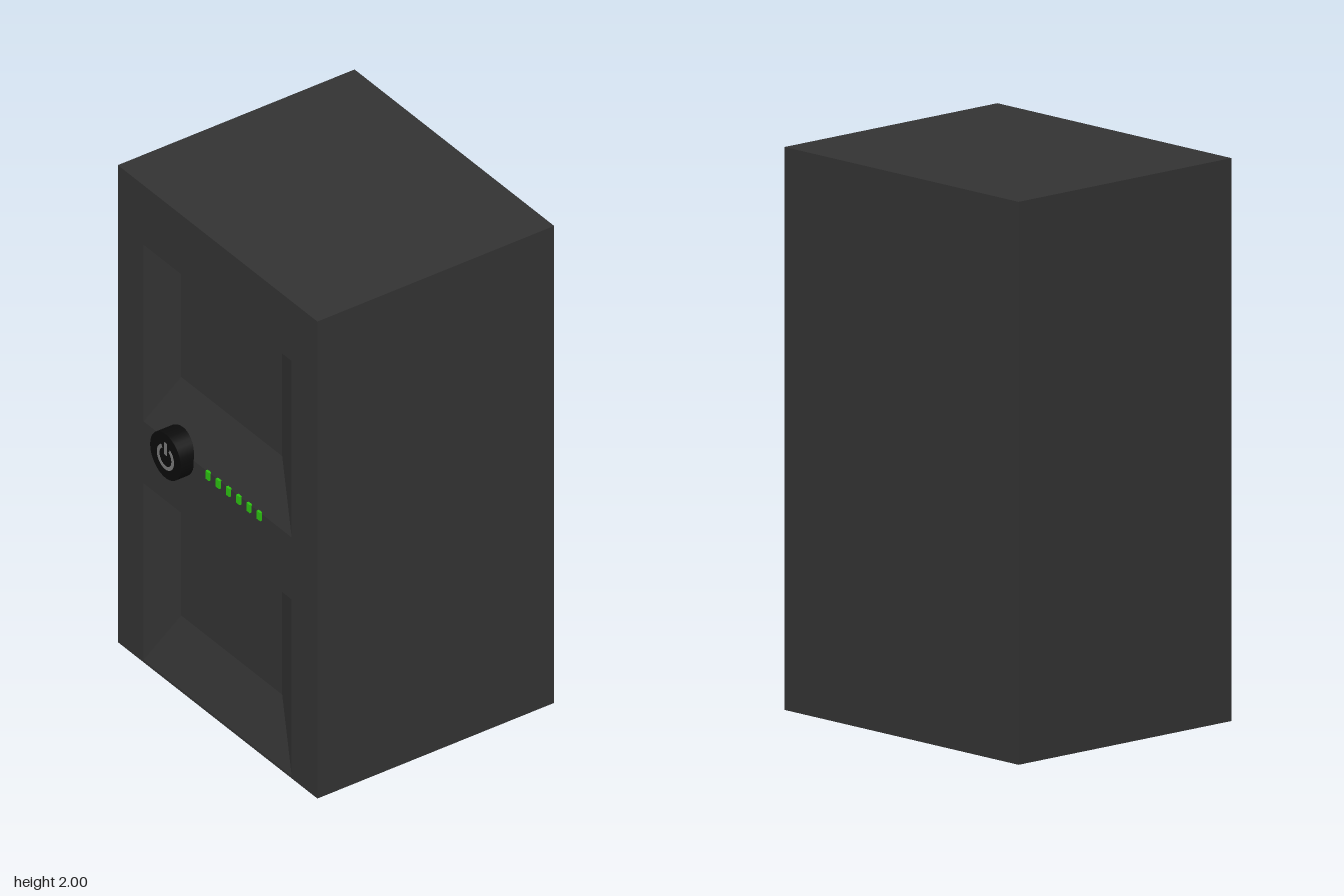
import * as THREE from 'three';

const mat = (color, extra = {}) => new THREE.MeshStandardMaterial({ color, ...extra });
const rect = (P, z0, z1, y0, y1) =>
  new P([[z0, y0], [z1, y0], [z1, y1], [z0, y1]].map(([z, y]) => new THREE.Vector2(z, y)));

// Four sloping walls from an outer rectangle (on the face) to an inner one (set back)
function slopedWalls(outer, inner, depth) {
  const corners = ([z0, z1, y0, y1], w) => [z0, y0, w, z1, y0, w, z1, y1, w, z0, y1, w];
  const index = [];
  for (let i = 0; i < 4; i++) {
    const j = (i + 1) % 4;
    index.push(i, j, j + 4, i, j + 4, i + 4);
  }
  let g = new THREE.BufferGeometry();
  g.setAttribute('position', new THREE.Float32BufferAttribute([...corners(outer, depth), ...corners(inner, 0)], 3));
  g.setIndex(index);
  g = g.toNonIndexed();
  g.computeVertexNormals();
  return g;
}

export function createModel() {
  const model = new THREE.Group();
  const shell = mat(0x333333);
  const black = mat(0x0b0b0b);
  const green = mat(0x2bc010);
  const iconGrey = mat(0x777777);
  const add = (parent, name, geometry, material, x = 0, y = 0, z = 0) => {
    const mesh = new THREE.Mesh(geometry, material);
    mesh.name = name;
    mesh.position.set(x, y, z);
    parent.add(mesh);
    return mesh;
  };

  // Cabinet
  const depth = 0.06, faceX = -0.48, right = 0.53;
  const w = right - faceX - depth;
  add(model, 'cabinet', new THREE.BoxGeometry(w, 2, 1.186), shell, right - w / 2, 1, 0);

  // Control side: local x runs along z, local z points out to -x
  const side = new THREE.Group();
  side.name = 'controlSide';
  side.position.x = faceX + depth;
  side.rotation.y = -Math.PI / 2;
  model.add(side);

  // Side panel with two shallow, sloped recesses
  const panel = rect(THREE.Shape, -0.593, 0.593, 0, 2);
  for (const y of [0, 1]) {
    const outer = [-0.44, 0.44, y + 0.01, y + 0.75];
    const inner = [-0.3, 0.3, y + 0.25, y + 0.71];
    panel.holes.push(rect(THREE.Path, ...outer));
    add(side, 'recessWalls', slopedWalls(outer, inner, depth), shell);
  }
  add(side, 'sidePanel', new THREE.ExtrudeGeometry(panel, { depth, bevelEnabled: false }), shell);

  // Round power button
  const button = new THREE.Group();
  button.name = 'powerButton';
  button.position.set(-0.234, 1, 0);
  side.add(button);
  const cap = add(button, 'buttonCap', new THREE.CylinderGeometry(0.092, 0.092, 0.115, 32), black, 0, 0, 0.0565);
  cap.rotation.x = Math.PI / 2;

  // Broken ring and bar on the button
  const gap = 0.55;
  const ring = new THREE.Shape();
  ring.absarc(0, 0, 0.05, Math.PI / 2 + gap, Math.PI * 2.5 - gap, false);
  ring.absarc(0, 0, 0.036, Math.PI * 2.5 - gap, Math.PI / 2 + gap, true);
  add(button, 'buttonRing', new THREE.ExtrudeGeometry(ring, { depth: 0.002, bevelEnabled: false, curveSegments: 24 }),
    iconGrey, 0, -0.005, 0.1135);
  add(button, 'buttonBar', new THREE.BoxGeometry(0.014, 0.05, 0.002), iconGrey, 0, 0.03, 0.1145);

  // Row of indicator lights
  for (let i = 0; i < 6; i++) {
    add(side, 'indicatorLight', new THREE.BoxGeometry(0.02, 0.034, 0.03), green, -0.051 + i * 0.0608, 1, 0.053);
  }
  return model;
}
